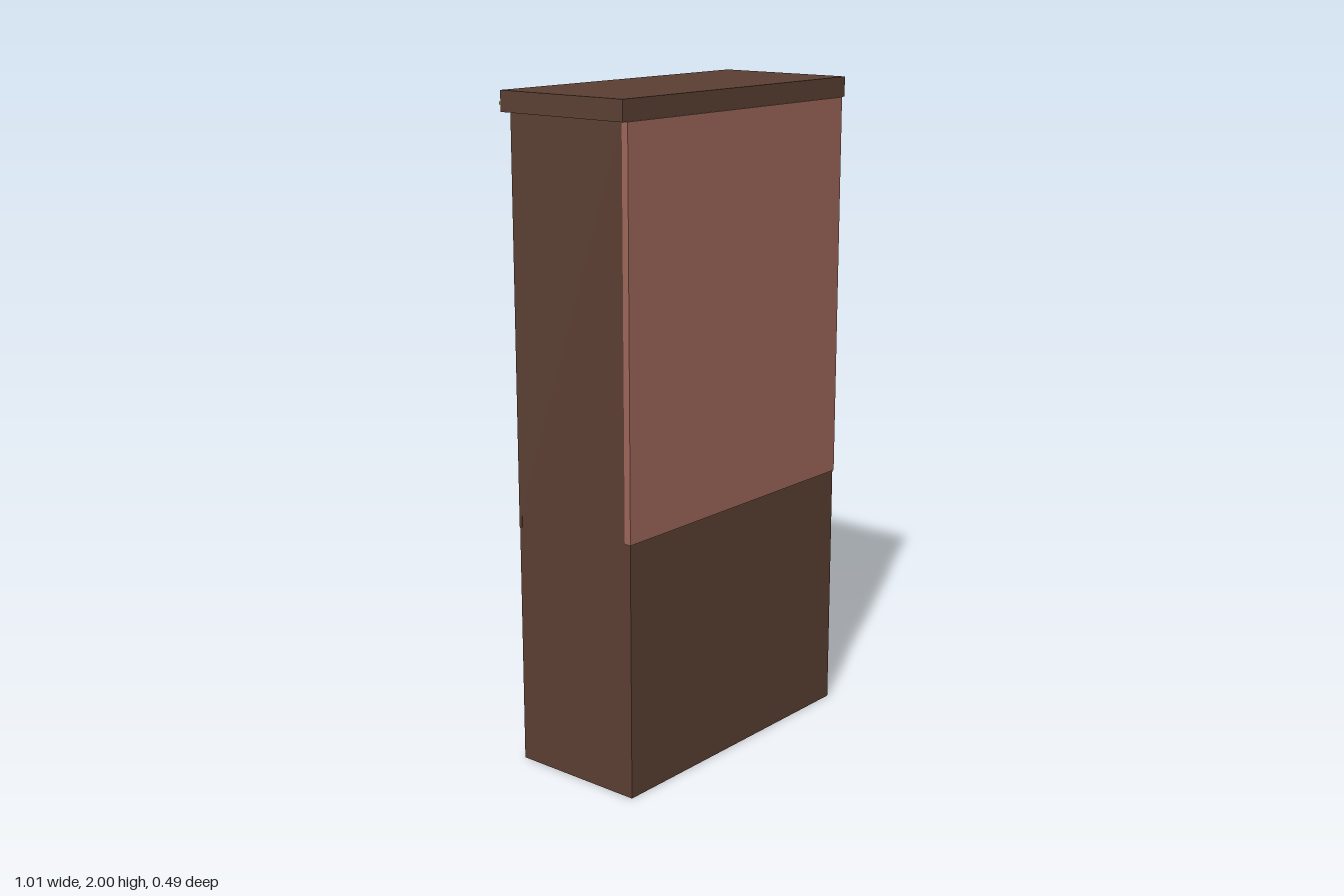
import * as THREE from 'three';

const mat = (color) => new THREE.MeshStandardMaterial({ color });

export function createModel() {
  const cabinet = new THREE.Group();
  cabinet.name = 'cabinet';
  const wood = mat(0x5c4033), backing = mat(0x9f685b), glass = mat(0x8d9d9d), brass = mat(0xa8862a);

  // Box given by its lower and upper bounds on each axis
  function box(parent, name, material, [x0, x1], [y0, y1], [z0, z1]) {
    const mesh = new THREE.Mesh(new THREE.BoxGeometry(x1 - x0, y1 - y0, z1 - z0), material);
    mesh.position.set((x0 + x1) / 2, (y0 + y1) / 2, (z0 + z1) / 2);
    mesh.name = name;
    parent.add(mesh);
    return mesh;
  }

  // Rectangular ring in the xy plane, extruded from z0 to z1
  function frame(parent, name, material, [x0, x1], [y0, y1], [z0, z1], t) {
    const rect = (P, a, b, c, d) => new P([[a, c], [b, c], [b, d], [a, d]].map((p) => new THREE.Vector2(...p)));
    const shape = rect(THREE.Shape, x0, x1, y0, y1);
    shape.holes.push(rect(THREE.Path, x0 + t, x1 - t, y0 + t, y1 - t));
    const geo = new THREE.ExtrudeGeometry(shape, { depth: z1 - z0, bevelEnabled: false });
    const mesh = new THREE.Mesh(geo, material);
    mesh.position.z = z0;
    mesh.name = name;
    parent.add(mesh);
  }

  // Carcass: lower cupboard and upper display case
  box(cabinet, 'lowerCarcass', wood, [-0.485, 0.485], [0, 0.77], [-0.19, 0.24]);
  box(cabinet, 'upperCase', wood, [-0.487, 0.487], [0.77, 1.94], [-0.184, 0.222]);
  frame(cabinet, 'glassFrame', wood, [-0.487, 0.487], [0.735, 1.94], [-0.19, -0.18], 0.032);
  box(cabinet, 'glassPane', glass, [-0.455, 0.455], [0.767, 1.915], [-0.188, -0.18]);
  box(cabinet, 'backPanel', backing, [-0.488, 0.488], [0.77, 1.94], [0.222, 0.243]);

  // Cornice with a brass strip along its face
  box(cabinet, 'cornice', wood, [-0.505, 0.505], [1.94, 2], [-0.21, 0.24]);
  box(cabinet, 'corniceStrip', brass, [-0.505, 0.505], [1.96, 1.968], [-0.215, -0.2]);

  // Pair of panelled doors
  for (const s of [-1, 1]) {
    const door = new THREE.Group();
    door.name = s > 0 ? 'leftDoor' : 'rightDoor';
    const span = (a, b) => (s > 0 ? [a, b] : [-b, -a]);
    box(door, 'doorSlab', wood, span(0.01, 0.45), [0.06, 0.72], [-0.206, -0.19]);
    box(door, 'doorMoulding', wood, span(0.04, 0.42), [0.09, 0.69], [-0.213, -0.206]);
    frame(door, 'brassInlay', brass, span(0.047, 0.413), [0.1, 0.68], [-0.2145, -0.212], 0.006);
    box(door, 'raisedPanel', wood, span(0.068, 0.39), [0.12, 0.66], [-0.221, -0.213]);

    // Knob: stem and cap
    const knob = new THREE.Group();
    knob.name = 'knob';
    for (const [name, r, z0, z1] of [['knobStem', 0.006, -0.236, -0.206], ['knobCap', 0.011, -0.243, -0.236]]) {
      const part = new THREE.Mesh(new THREE.CylinderGeometry(r, r, z1 - z0, 20), brass);
      part.rotation.x = Math.PI / 2;
      part.position.z = (z0 + z1) / 2;
      part.name = name;
      knob.add(part);
    }
    knob.position.set(s * 0.05, 0.465, 0);
    door.add(knob);
    cabinet.add(door);
  }
  return cabinet;
}
